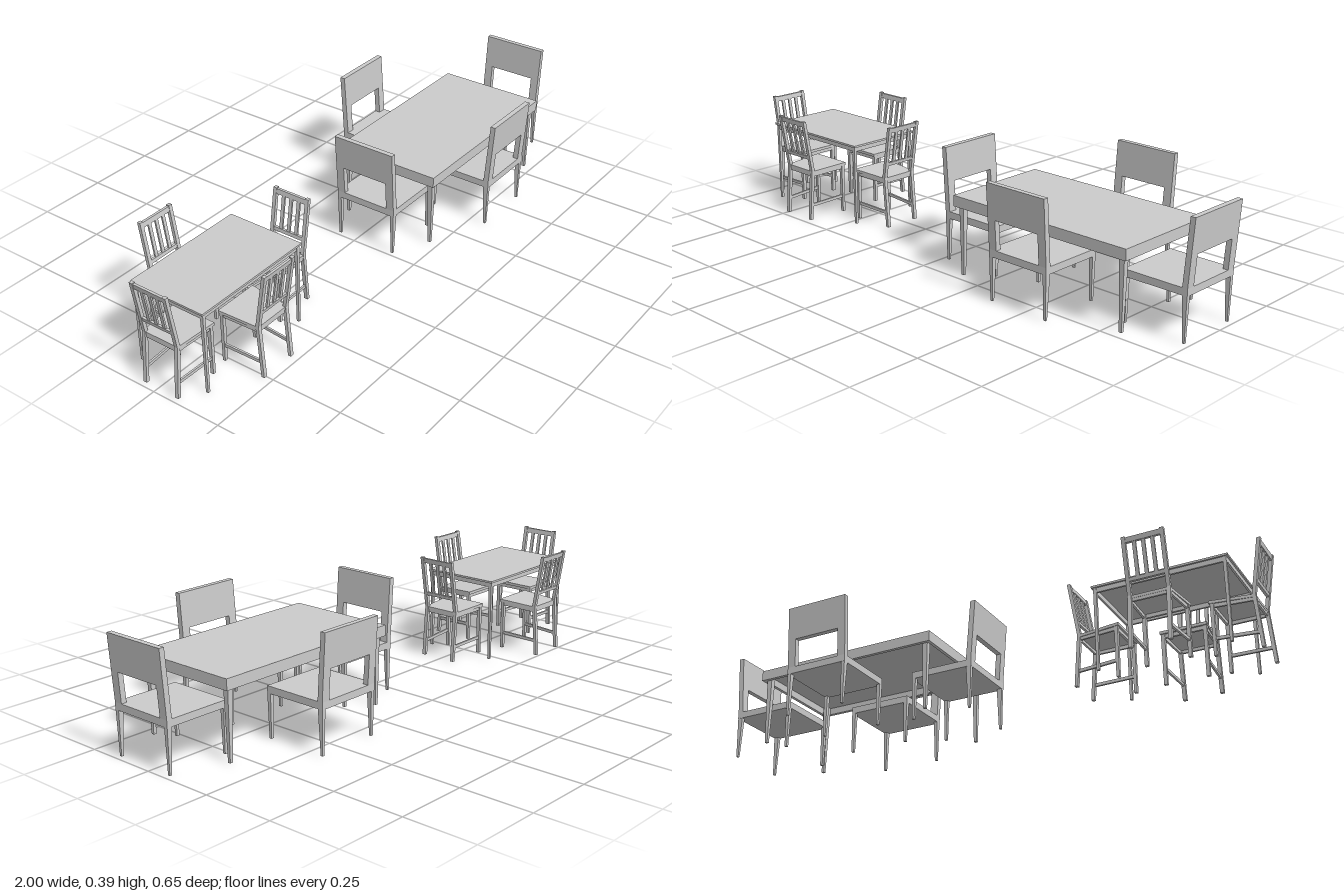
import * as THREE from 'three';

const material = new THREE.MeshStandardMaterial({ color: 0xcccccc, flatShading: true });

// Tapered bar between two points. Its end sections are perpendicular to the given axis;
// p1 must lie further along that axis than p0. Sizes are [x, z] for axis y, [x, y] for axis z.
function bar(name, p0, p1, s0, s1 = s0, axis = 'y') {
  const geometry = new THREE.BoxGeometry(1, 1, 1);
  const pos = geometry.attributes.position;
  const v = new THREE.Vector3();
  for (let i = 0; i < pos.count; i++) {
    v.fromBufferAttribute(pos, i);
    const far = (axis === 'y' ? v.y : v.z) > 0;
    const p = far ? p1 : p0, s = far ? s1 : s0;
    if (axis === 'y') pos.setXYZ(i, p[0] + v.x * s[0], p[1], p[2] + v.z * s[1]);
    else pos.setXYZ(i, p[0] + v.x * s[0], p[1] + v.y * s[1], p[2]);
  }
  geometry.computeVertexNormals();
  const mesh = new THREE.Mesh(geometry, material);
  mesh.name = name;
  return mesh;
}

// Axis-aligned board from its minimum and maximum corners
function board(name, x0, x1, y0, y1, z0, z1) {
  const cx = (x0 + x1) / 2, cz = (z0 + z1) / 2;
  return bar(name, [cx, y0, cz], [cx, y1, cz], [x1 - x0, z1 - z0]);
}

function group(name) {
  const g = new THREE.Group();
  g.name = name;
  return g;
}

// Table with a slab top, an apron frame open below and four tapered legs
function makeTable(name, t) {
  const g = group(name);
  const x = t.width / 2, z = t.depth / 2;
  const ax = x - t.apronInset, az = z - t.apronInset, th = t.apronThick;
  g.add(board('tableTop', -x, x, t.slabBottom, t.top, -z, z));
  for (const s of [-1, 1]) {
    const zc = s * (az - th / 2), xc = s * (ax - th / 2);
    g.add(board('longApron', -ax, ax, t.apronBottom, t.slabBottom, zc - th / 2, zc + th / 2));
    g.add(board('shortApron', xc - th / 2, xc + th / 2, t.apronBottom, t.slabBottom, -az + th, az - th));
    for (const r of [-1, 1]) {
      const lx = r * (x - t.legInset[0] - t.legTop / 2);
      const lz = s * (z - t.legInset[1] - t.legTop / 2);
      g.add(bar('tableLeg', [lx, 0, lz], [lx, t.slabBottom, lz],
        [t.legFoot, t.legFoot], [t.legTop, t.legTop]));
    }
  }
  return g;
}

// Dining chair with a solid back panel; the back is at z = 0 and it faces +z
function makePanelChair() {
  const g = group('panelChair');
  const half = 0.116, postW = 0.03;
  const seatTop = 0.172, panelBottom = 0.272, top = 0.39;
  const backZ = y => 0.0245 - 0.0155 * (y - seatTop) / (top - seatTop);
  g.add(board('seat', -half, half, 0.148, seatTop, 0.015, 0.245));
  g.add(bar('backPanel', [0, panelBottom, backZ(panelBottom)], [0, top, backZ(top)],
    [2 * half, 0.0185], [2 * half, 0.018]));
  for (const s of [-1, 1]) {
    const px = s * (half - postW / 2), lx = s * (half - 0.007);
    g.add(bar('backPost', [px, seatTop, backZ(seatTop)], [px, panelBottom, backZ(panelBottom)],
      [postW, 0.019], [postW, 0.0185]));
    g.add(bar('backLeg', [lx, 0, 0.023], [lx, 0.148, 0.0245], [0.008, 0.008], [0.0135, 0.018]));
    g.add(bar('frontLeg', [lx, 0, 0.238], [lx, 0.148, 0.238], [0.009, 0.009], [0.014, 0.014]));
  }
  return g;
}

// Small chair with a slatted, reclined back and side stretchers; it faces +z
function makeSlatChair() {
  const g = group('slatChair');
  const joint = 0.18, top = 0.37;
  const backZ = y => 0.0375 - 0.031 * (y - joint) / (top - joint);
  const upright = (name, x, y0, y1, w, d) =>
    g.add(bar(name, [x, y0, backZ(y0)], [x, y1, backZ(y1)], [w, d]));

  // Seat widens and rises slightly towards the front
  g.add(bar('seat', [0, 0.175, 0.034], [0, 0.181, 0.18], [0.136, 0.01], [0.16, 0.01], 'z'));
  g.add(board('frontApron', -0.066, 0.066, 0.163, 0.177, 0.166, 0.174));
  g.add(board('backApron', -0.056, 0.056, 0.16, 0.172, 0.035, 0.042));

  for (const s of [-1, 1]) {
    const bx = s * 0.0635, fx = s * 0.071;
    g.add(bar('backLeg', [bx, 0, 0.023], [bx, joint, 0.0375], [0.013, 0.011], [0.013, 0.012]));
    upright('backPost', bx, joint, top, 0.013, 0.012);
    g.add(bar('frontLeg', [fx, 0, 0.17], [fx, 0.177, 0.17], [0.012, 0.01], [0.013, 0.012]));
    g.add(bar('sideApron', [bx, 0.166, 0.042], [fx, 0.17, 0.166], [0.007, 0.012], [0.007, 0.014], 'z'));
    g.add(bar('sideStretcher', [bx, 0.0525, 0.028], [fx, 0.058, 0.166], [0.007, 0.0105], [0.007, 0.0105], 'z'));
  }

  // Rails and three slats of the back
  upright('topRail', 0, 0.35, 0.367, 0.116, 0.009);
  upright('lowerRail', 0, 0.225, 0.237, 0.116, 0.009);
  for (const x of [-0.03, 0, 0.03]) upright('backSlat', x, 0.235, 0.352, 0.012, 0.006);
  return g;
}

// Places one chair on each side of a table: [x, z, turn]
function addChairs(parent, make, places) {
  for (const [x, z, turn] of places) {
    const chair = make();
    chair.position.set(x, 0, z);
    chair.rotation.y = turn;
    parent.add(chair);
  }
}

export function createModel() {
  const model = group('diningSets');
  const q = Math.PI / 2;

  // Large set
  const large = group('largeDiningSet');
  const largeTable = makeTable('largeTable', {
    width: 0.696, depth: 0.39, top: 0.272, slabBottom: 0.26, apronBottom: 0.235,
    apronInset: 0, apronThick: 0.012, legInset: [0.014, 0.012], legTop: 0.02, legFoot: 0.01,
  });
  largeTable.position.set(0.476, 0, 0.04);
  large.add(largeTable);
  addChairs(large, makePanelChair, [
    [0.476, 0.328, 2 * q], [0.476, -0.325, 0], [-0.004, 0.039, q], [1, 0.039, -q],
  ]);

  // Small set
  const small = group('smallDiningSet');
  const smallTable = makeTable('smallTable', {
    width: 0.454, depth: 0.283, top: 0.293, slabBottom: 0.286, apronBottom: 0.27,
    apronInset: 0.006, apronThick: 0.007, legInset: [0.006, 0.004], legTop: 0.011, legFoot: 0.009,
  });
  smallTable.position.set(-0.69, 0, -0.002);
  small.add(smallTable);
  addChairs(small, makeSlatChair, [
    [-0.689, 0.241, 2 * q], [-0.689, -0.259, 0], [-1, 0.012, q], [-0.34, 0.012, -q],
  ]);

  model.add(large, small);
  return model;
}
